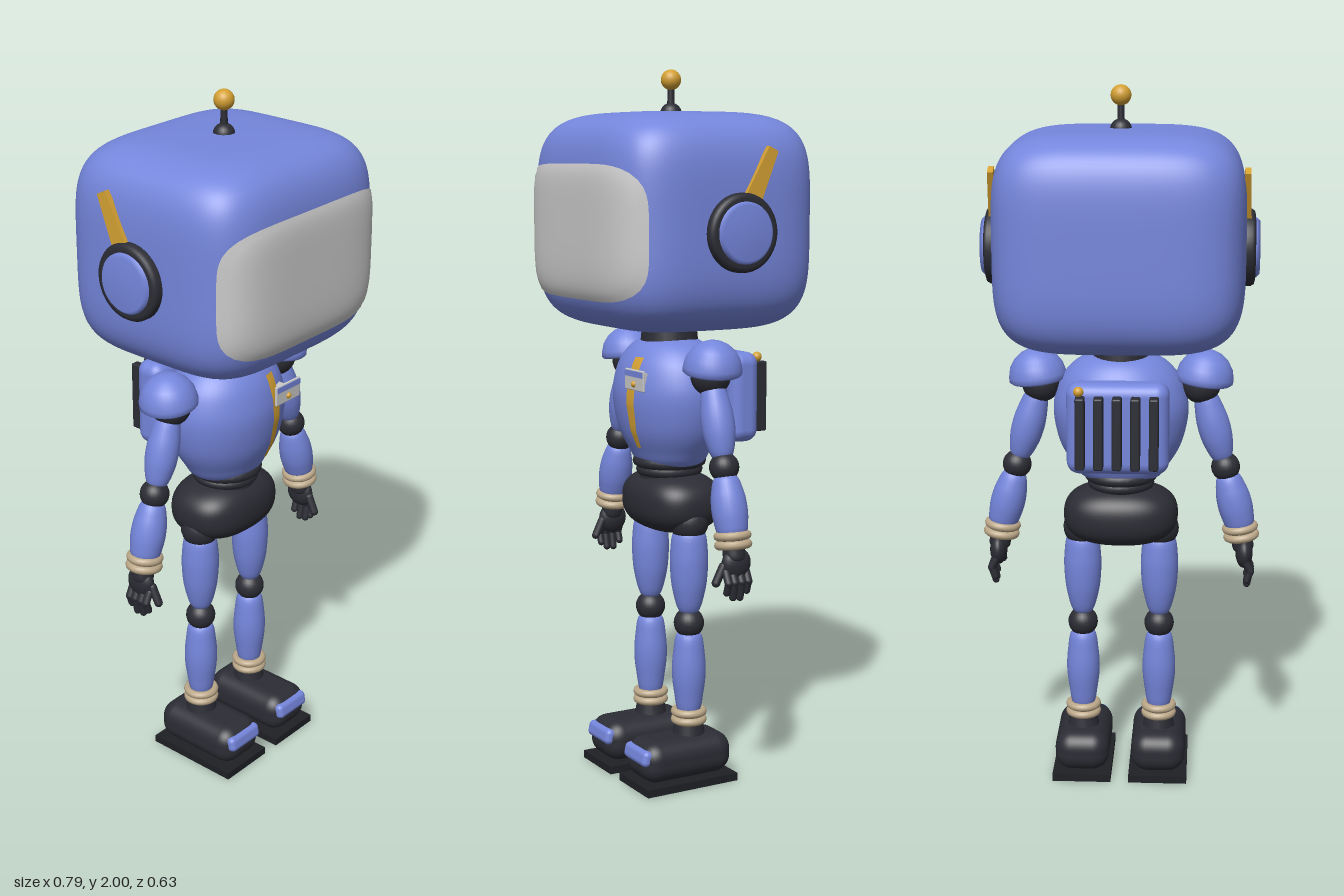
import * as THREE from 'three';
import { mergeVertices } from 'three/addons/utils/BufferGeometryUtils.js';
import { RoundedBoxGeometry } from 'three/addons/geometries/RoundedBoxGeometry.js';

const paint = (name, color, side = THREE.FrontSide) => {
  const m = new THREE.MeshStandardMaterial({ color, side });
  m.name = name;
  return m;
};
const V = (x, y, z) => new THREE.Vector3(x, y, z);

// Rounded block: a box grid pushed onto a superellipsoid
function softBlock(hx, hy, hz, n, seg = 24) {
  const g = new THREE.BoxGeometry(2, 2, 2, seg, seg, seg);
  g.deleteAttribute('uv');
  g.deleteAttribute('normal');
  const p = g.attributes.position;
  for (let i = 0; i < p.count; i++) {
    const v = V(p.getX(i), p.getY(i), p.getZ(i));
    const k = (Math.abs(v.x) ** n + Math.abs(v.y) ** n + Math.abs(v.z) ** n) ** (-1 / n);
    p.setXYZ(i, v.x * k * hx, v.y * k * hy, v.z * k * hz);
  }
  const out = mergeVertices(g, 1e-5);
  out.computeVertexNormals();
  return out;
}

// Smooth lathe through [radius, y] points
function turned(points, seg = 32, smooth = 24) {
  const pts = points.map(([r, y]) => new THREE.Vector2(r, y));
  const path = smooth ? new THREE.SplineCurve(pts).getPoints(smooth) : pts;
  return new THREE.LatheGeometry(path.map(p => new THREE.Vector2(Math.max(p.x, 0), p.y)), seg);
}

function surfaceFromGrid(rows, cols, at) {
  const pos = [], idx = [];
  for (let i = 0; i <= rows; i++) for (let j = 0; j <= cols; j++) pos.push(...at(i / rows, j / cols));
  for (let i = 0; i < rows; i++) for (let j = 0; j < cols; j++) {
    const a = i * (cols + 1) + j, b = a + cols + 1;
    idx.push(a, b, b + 1, a, b + 1, a + 1);
  }
  const g = new THREE.BufferGeometry();
  g.setAttribute('position', new THREE.Float32BufferAttribute(pos, 3));
  g.setIndex(idx);
  g.computeVertexNormals();
  return g;
}

export function createModel() {
  const blue = paint('blue shell', 0x7586dc);
  const dark = paint('dark rubber', 0x2c2d35);
  const darkTwo = paint('dark trim', 0x2c2d35, THREE.DoubleSide);
  const sole = paint('black sole', 0x1f2025);
  const gold = paint('gold', 0xd3a033, THREE.DoubleSide);
  const tan = paint('tan cord', 0xbda98a);
  const pale = paint('pale visor', 0xcacaca, THREE.DoubleSide);

  const model = new THREE.Group();
  model.name = 'robot';
  const add = (name, geo, mat, x = 0, y = 0, z = 0, parent = model) => {
    const m = new THREE.Mesh(geo, mat);
    m.name = name;
    m.position.set(x, y, z);
    parent.add(m);
    return m;
  };
  const ball = (name, r, mat, x, y, z) => add(name, new THREE.SphereGeometry(r, 24, 16), mat, x, y, z);
  const aim = (m, dir) => m.quaternion.setFromUnitVectors(V(0, 1, 0), dir.clone().normalize());
  // Spindle-shaped limb from a (bottom) to b (top)
  const limb = (name, a, b, radii, mat) => {
    const len = a.distanceTo(b);
    const pts = radii.map((r, i) => [r, len * i / (radii.length - 1)]);
    const m = add(name, turned([[0, -0.004], ...pts, [0, len + 0.004]], 24, 32), mat, a.x, a.y, a.z);
    aim(m, b.clone().sub(a));
    return m;
  };
  const finger = (name, a, b, r) => {
    const c = a.clone().add(b).multiplyScalar(0.5);
    aim(add(name, new THREE.CapsuleGeometry(r, a.distanceTo(b), 5, 10), dark, c.x, c.y, c.z), b.clone().sub(a));
  };
  const ring = (name, r, t, mat, x, y, z) => {
    const g = new THREE.TorusGeometry(r, t, 10, 28);
    g.rotateX(Math.PI / 2);
    return add(name, g, mat, x, y, z);
  };

  // Head and curved visor
  const H = V(0.343, 0.2975, 0.309), headY = 1.5875, headZ = -0.005, N = 4.5;
  add('head', softBlock(H.x, H.y, H.z, N, 32), blue, 0, headY, headZ);
  const visor = (hx, hy, edge, bulge) => surfaceFromGrid(16, 72, (t, u) => {
    const c = Math.cos(u * 2 * Math.PI), s = Math.sin(u * 2 * Math.PI);
    const k = t * (Math.abs(c) ** 5 + Math.abs(s) ** 5) ** -0.2;
    const x = hx * c * k, y = -0.025 + hy * s * k, o = edge + bulge * (1 - t ** 8);
    const f = 1 - Math.abs(x / (H.x + o)) ** N - Math.abs(y / (H.y + o)) ** N;
    return [x, headY + y, headZ + (H.z + o) * Math.max(f, 0) ** (1 / N)];
  });
  add('visorRim', visor(0.32, 0.186, -0.004, 0.008), darkTwo);
  add('visor', visor(0.315, 0.182, 0.003, 0.007), pale);

  // Antenna
  add('antennaBase', new THREE.SphereGeometry(0.03, 20, 10, 0, Math.PI * 2, 0, Math.PI / 2), dark, 0, 1.88, headZ);
  add('antennaStem', new THREE.CylinderGeometry(0.009, 0.011, 0.09, 14), dark, 0, 1.92, headZ);
  ball('antennaBall', 0.028, gold, 0, 1.972, headZ);

  // Ear pods with swept fins
  for (const s of [1, -1]) {
    const ear = new THREE.Group();
    ear.name = s > 0 ? 'leftEar' : 'rightEar';
    ear.position.set(s * 0.325, 1.565, -0.02);
    ear.rotation.z = -s * Math.PI / 2;
    model.add(ear);
    add('earPad', turned([[0, 0], [0.1, 0], [0.105, 0.012], [0.105, 0.032], [0.1, 0.04], [0.09, 0.043], [0, 0.043]], 40, 0), dark, 0, 0, 0, ear);
    add('earCap', turned([[0.083, 0.035], [0.082, 0.046], [0.073, 0.055], [0, 0.056]], 40, 0), blue, 0, 0, 0, ear);
    const finGeo = new THREE.CylinderGeometry(0.022, 0.042, 0.21, 4, 1);
    finGeo.rotateY(Math.PI / 4);
    finGeo.scale(0.5, 1, 1);
    const flat = finGeo.toNonIndexed();
    flat.computeVertexNormals();
    aim(add('earFin', flat, gold, s * 0.343, 1.69, -0.07), V(0, 0.17, -0.085));
  }

  // Neck, egg-shaped torso, waist and pelvis
  add('neck', new THREE.CylinderGeometry(0.075, 0.085, 0.09, 28), dark, 0, 1.265, 0);
  const egg = [[0, 0.9], [0.1, 0.905], [0.14, 0.95], [0.173, 1.01], [0.19, 1.09], [0.184, 1.15], [0.157, 1.21], [0.1, 1.255], [0, 1.268]];
  const torso = turned(egg, 48, 40);
  torso.scale(1, 1, 0.79);
  add('torso', torso, blue);
  ring('waistRing', 0.088, 0.017, dark, 0, 0.912, 0);
  ring('waistRing', 0.078, 0.017, dark, 0, 0.887, 0);
  add('waist', new THREE.CylinderGeometry(0.085, 0.085, 0.09, 28), dark, 0, 0.885, 0);
  add('pelvis', softBlock(0.163, 0.088, 0.12, 2.5, 16), dark, 0, 0.797, -0.006);

  // Gold chest stripe laid on the torso
  const radiusAt = y => {
    const i = Math.max(1, egg.findIndex(p => p[1] >= y)), [r0, y0] = egg[i - 1], [r1, y1] = egg[i];
    return r0 + (r1 - r0) * (y - y0) / (y1 - y0);
  };
  add('chestStripe', surfaceFromGrid(16, 4, (t, u) => {
    const y = 1.215 - 0.255 * t, w = 0.033 - 0.018 * t ** 3;
    const x = 0.028 + w * u, r = radiusAt(y);
    return [x, y, 0.79 * Math.sqrt(r * r - x * x) + 0.006];
  }), gold);

  // Name badge
  add('badgeClip', new THREE.BoxGeometry(0.03, 0.03, 0.05), pale, 0.075, 1.16, 0.132);
  add('badgePlate', new RoundedBoxGeometry(0.104, 0.058, 0.008, 2, 0.003), pale, 0.083, 1.158, 0.156);
  add('badgeBand', new THREE.BoxGeometry(0.098, 0.016, 0.004), blue, 0.083, 1.175, 0.16);
  add('badgeDot', new THREE.SphereGeometry(0.009, 14, 10), gold, 0.083, 1.147, 0.159);

  // Backpack with cooling fins and lamp
  add('backpack', new RoundedBoxGeometry(0.28, 0.255, 0.092, 5, 0.035), blue, 0, 1.092, -0.174);
  for (let i = -2; i <= 2; i++)
    add('coolingFin', new RoundedBoxGeometry(0.026, 0.2, 0.045, 2, 0.005), dark, i * 0.05, 1.09, -0.233);
  ball('backpackLamp', 0.014, gold, 0.104, 1.203, -0.226);

  for (const s of [1, -1]) {
    const side = s > 0 ? 'left' : 'right';
    const P = (x, y, z = 0) => V(s * x, y, z);

    // Shoulder cap and arm
    ball(side + 'ShoulderJoint', 0.055, dark, s * 0.225, 1.175, 0);
    const cap = add(side + 'ShoulderCap', turned([[0, 0], [0.074, 0], [0.081, 0.006], [0.081, 0.02], [0.075, 0.045],
      [0.06, 0.068], [0.04, 0.084], [0.02, 0.092], [0, 0.094]], 32, 0), blue, s * 0.233, 1.18, 0);
    cap.rotation.z = -s * 0.12;
    limb(side + 'UpperArm', P(0.289, 0.96), P(0.235, 1.15), [0.026, 0.042, 0.046, 0.041, 0.028], blue);
    ball(side + 'Elbow', 0.041, dark, s * 0.297, 0.935, 0);
    limb(side + 'Forearm', P(0.343, 0.755), P(0.303, 0.91), [0.036, 0.047, 0.049, 0.044, 0.03], blue);
    for (const [x, y] of [[0.341, 0.755], [0.345, 0.731]])
      ring(side + 'Bracelet', 0.04, 0.012, tan, s * x, y, 0).rotation.z = s * 0.15;
    limb(side + 'Wrist', P(0.352, 0.69), P(0.341, 0.76), [0.028, 0.03, 0.032], dark);

    // Hand
    const palm = add(side + 'Palm', new THREE.SphereGeometry(1, 20, 14), dark, s * 0.354, 0.68, -0.004);
    palm.scale.set(0.025, 0.045, 0.044);
    for (const [z, tip] of [[-0.032, 0.605], [-0.011, 0.588], [0.011, 0.59], [0.03, 0.605]]) {
      finger(side + 'Finger', P(0.358, 0.66, z), P(0.372, 0.632, z), 0.0115);
      finger(side + 'FingerTip', P(0.372, 0.632, z), P(0.363, tip, z), 0.0105);
    }
    finger(side + 'Thumb', P(0.35, 0.675, 0.035), P(0.349, 0.632, 0.056), 0.012);

    // Leg
    const x = 0.111;
    ball(side + 'Hip', 0.055, dark, s * x, 0.75, 0);
    limb(side + 'Thigh', P(x, 0.495), P(x, 0.725), [0.028, 0.046, 0.053, 0.053, 0.042], blue);
    ball(side + 'Knee', 0.043, dark, s * x, 0.46, 0);
    limb(side + 'Shin', P(x, 0.2), P(x, 0.428), [0.03, 0.042, 0.048, 0.045, 0.034], blue);
    for (const y of [0.201, 0.178]) ring(side + 'AnkleCord', 0.04, 0.0115, tan, s * x, y, 0);
    add(side + 'Ankle', new THREE.CylinderGeometry(0.034, 0.05, 0.09, 24), dark, s * x, 0.16, 0);

    // Shoe with toe cap and flat sole
    add(side + 'Shoe', new RoundedBoxGeometry(0.158, 0.118, 0.285, 6, 0.05), dark, s * x, 0.081, 0.033);
    const toe = add(side + 'ToeCap', new RoundedBoxGeometry(0.125, 0.046, 0.04, 4, 0.015), blue, s * x, 0.099, 0.16);
    toe.rotation.x = -0.2;
    add(side + 'Sole', new THREE.BoxGeometry(0.17, 0.022, 0.292), sole, s * x, 0.011, 0.034);
  }
  return model;
}
